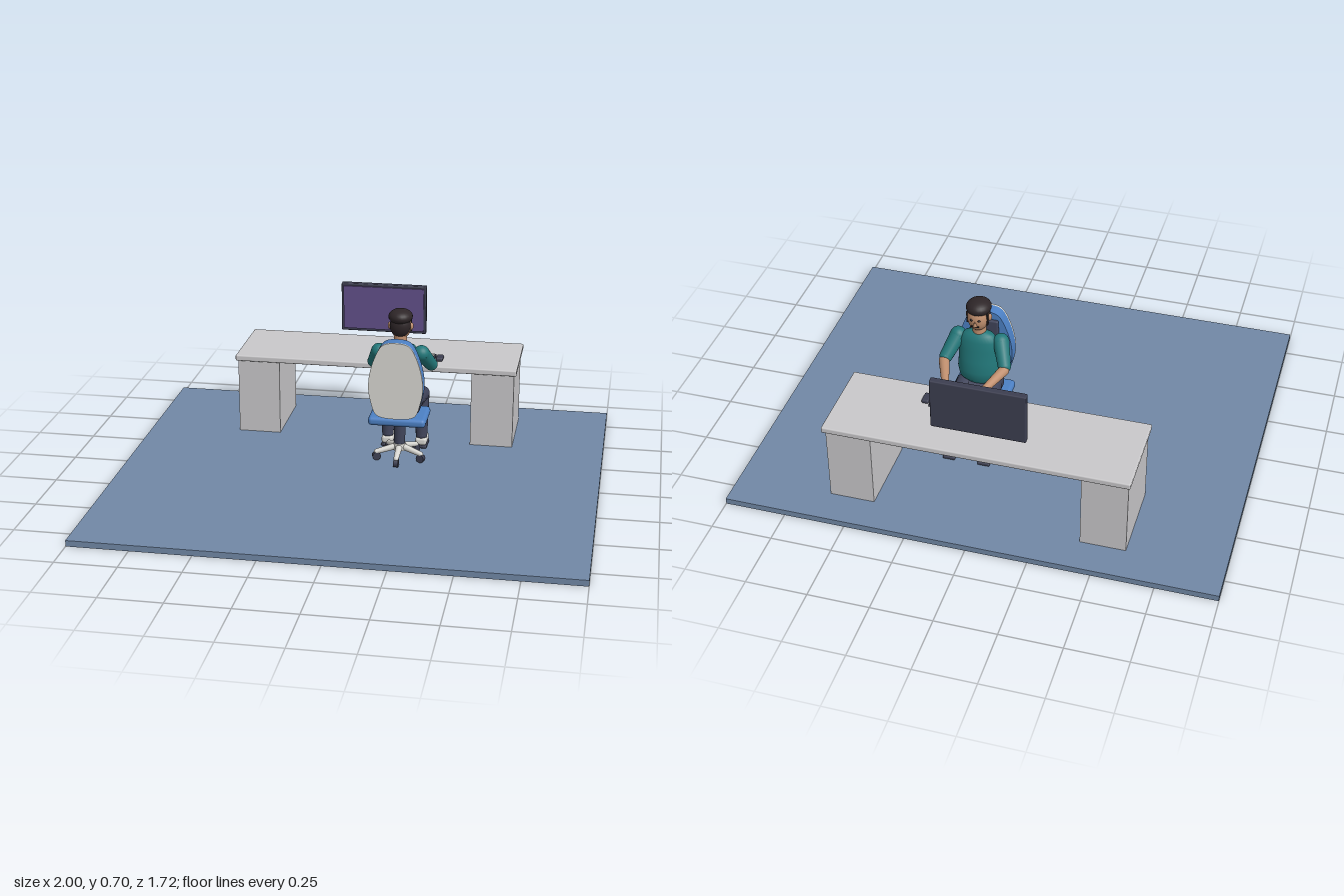
import * as THREE from 'three';
import { RoundedBoxGeometry } from 'three/addons/geometries/RoundedBoxGeometry.js';

const mat = (name, color) => {
  const m = new THREE.MeshStandardMaterial({ color });
  m.name = name;
  return m;
};

export function createModel() {
  const floorBlue = mat('floor blue', 0x7188a6), deskGrey = mat('desk grey', 0xc9c8ca);
  const white = mat('off white', 0xd8d7d2), blue = mat('chair blue', 0x4c80c4);
  const teal = mat('shirt teal', 0x22787a), navy = mat('trouser navy', 0x40445a);
  const charcoal = mat('charcoal', 0x3c3e50), purple = mat('screen purple', 0x62508a);
  const skin = mat('skin', 0xc08f6e), brown = mat('hair brown', 0x2e2628);

  const model = new THREE.Group();
  model.name = 'officeScene';
  const group = (name, x = 0) => {
    const g = new THREE.Group();
    g.name = name;
    g.position.x = x;
    model.add(g);
    return g;
  };
  const add = (parent, name, geo, m, x = 0, y = 0, z = 0) => {
    const mesh = new THREE.Mesh(geo, m);
    mesh.name = name;
    mesh.position.set(x, y, z);
    parent.add(mesh);
    return mesh;
  };
  // Box given by its limits on each axis, rounded when r > 0
  const box = (parent, name, m, [x0, x1], [y0, y1], [z0, z1], r = 0) => {
    const s = [x1 - x0, y1 - y0, z1 - z0];
    const geo = r ? new RoundedBoxGeometry(...s, 3, r) : new THREE.BoxGeometry(...s);
    return add(parent, name, geo, m, (x0 + x1) / 2, (y0 + y1) / 2, (z0 + z1) / 2);
  };
  const ball = (parent, name, m, p, s) => {
    const b = add(parent, name, new THREE.SphereGeometry(1, 24, 16), m, ...p);
    b.scale.set(...s);
    return b;
  };
  // Tapered limb between two points with rounded ends
  const limb = (parent, name, m, a, b, ra, rb) => {
    const A = new THREE.Vector3(...a), B = new THREE.Vector3(...b);
    const d = B.clone().sub(A);
    const mesh = add(parent, name, new THREE.CylinderGeometry(rb, ra, d.length(), 16), m);
    mesh.position.copy(A).add(B).multiplyScalar(0.5);
    mesh.quaternion.setFromUnitVectors(new THREE.Vector3(0, 1, 0), d.normalize());
    ball(parent, name + 'Start', m, a, [ra, ra, ra]);
    ball(parent, name + 'End', m, b, [rb, rb, rb]);
  };

  // Floor
  box(model, 'floor', floorBlue, [-1, 1], [0, 0.025], [-0.86, 0.86]);

  // Desk
  const desk = group('desk');
  box(desk, 'deskTop', deskGrey, [-0.617, 0.617], [0.355, 0.381], [-0.737, -0.363], 0.006);
  for (const s of [-1, 1]) {
    const x = s * 0.515;
    box(desk, 'pedestal', deskGrey, [x - 0.092, x + 0.092], [0.025, 0.356], [-0.715, -0.375]);
  }

  // Monitor
  const monitor = group('monitor');
  box(monitor, 'monitorBody', charcoal, [-0.193, 0.188], [0.432, 0.651], [-0.67, -0.641], 0.005);
  box(monitor, 'screen', purple, [-0.182, 0.177], [0.445, 0.64], [-0.642, -0.634]);

  // Keyboard and mouse
  const keyboard = group('keyboard');
  box(keyboard, 'keyboardBase', charcoal, [0.03, 0.255], [0.38, 0.392], [-0.497, -0.403]);
  for (let r = 0; r < 4; r++) for (let c = 0; c < 9; c++) {
    const x = 0.035 + c * 0.0242, z = -0.491 + r * 0.0215;
    box(keyboard, 'key', white, [x, x + 0.0205], [0.391, 0.397], [z, z + 0.0175]);
  }
  box(model, 'mouse', charcoal, [0.26, 0.29], [0.38, 0.397], [-0.485, -0.43], 0.007);

  // Swivel chair
  const chair = group('chair', 0.143);
  const cz = -0.172;
  box(chair, 'seat', blue, [-0.122, 0.122], [0.207, 0.245], [-0.25, -0.065], 0.016);
  add(chair, 'column', new THREE.CylinderGeometry(0.024, 0.024, 0.13, 20), navy, 0, 0.145, cz);
  add(chair, 'hub', new THREE.CylinderGeometry(0.026, 0.03, 0.03, 20), white, 0, 0.083, cz);
  for (let i = 0; i < 5; i++) {
    const a = i * Math.PI * 0.4 + Math.PI / 2, c = Math.cos(a), s = Math.sin(a);
    limb(chair, 'baseArm', white, [0, 0.086, cz], [c * 0.1, 0.062, cz + s * 0.1], 0.015, 0.011);
    const wheel = add(chair, 'caster', new THREE.CylinderGeometry(0.018, 0.018, 0.02, 16),
      charcoal, c * 0.1, 0.043, cz + s * 0.1);
    wheel.rotation.set(0, -a, 0);
    wheel.rotateX(Math.PI / 2);
  }
  // Backrest: tapered outline shared by the shell and the cushion
  const outline = new THREE.Shape();
  outline.moveTo(0, 0.255);
  outline.bezierCurveTo(0.09, 0.255, 0.09, 0.27, 0.105, 0.33);
  outline.bezierCurveTo(0.13, 0.41, 0.1, 0.5, 0.075, 0.55);
  outline.bezierCurveTo(0.06, 0.58, 0.045, 0.588, 0, 0.588);
  outline.bezierCurveTo(-0.045, 0.588, -0.06, 0.58, -0.075, 0.55);
  outline.bezierCurveTo(-0.1, 0.5, -0.13, 0.41, -0.105, 0.33);
  outline.bezierCurveTo(-0.09, 0.27, -0.09, 0.255, 0, 0.255);
  const slab = depth => new THREE.ExtrudeGeometry(outline, { depth, bevelEnabled: false, curveSegments: 14 });
  add(chair, 'backShell', slab(0.009), white, 0, 0, -0.045);
  add(chair, 'backCushion', slab(0.05), blue, 0, 0, -0.095);
  box(chair, 'upperPad', navy, [-0.06, 0.06], [0.44, 0.555], [-0.112, -0.094], 0.006);
  box(chair, 'lumbarPad', navy, [-0.08, 0.08], [0.285, 0.335], [-0.112, -0.094], 0.006);

  // Person
  const person = group('person', 0.143);
  const torso = new THREE.LatheGeometry([
    [0, 0.295], [0.055, 0.305], [0.083, 0.33], [0.09, 0.37], [0.086, 0.42], [0.084, 0.47],
    [0.08, 0.51], [0.06, 0.538], [0.028, 0.548], [0, 0.55],
  ].map(p => new THREE.Vector2(...p)), 32);
  // Belly is deeper than the chest
  const tp = torso.attributes.position;
  for (let i = 0; i < tp.count; i++) {
    const k = 0.68 - 0.15 * THREE.MathUtils.smoothstep(tp.getY(i), 0.38, 0.5);
    tp.setZ(i, tp.getZ(i) * k);
  }
  torso.computeVertexNormals();
  add(person, 'torso', torso, teal, 0, 0, -0.174);
  box(person, 'hips', navy, [-0.09, 0.09], [0.243, 0.315], [-0.235, -0.105], 0.028);

  // Head
  add(person, 'neck', new THREE.CylinderGeometry(0.027, 0.029, 0.06, 20), skin, 0, 0.56, -0.168);
  ball(person, 'head', skin, [0, 0.622, -0.18], [0.044, 0.06, 0.047]);
  const nose = add(person, 'nose', new THREE.ConeGeometry(0.009, 0.026, 10), skin, 0, 0.617, -0.228);
  nose.rotation.x = -0.25;
  ball(person, 'hairTop', brown, [0, 0.664, -0.17], [0.051, 0.032, 0.056]);
  ball(person, 'hairBack', brown, [0, 0.628, -0.158], [0.044, 0.05, 0.034]);
  const mouth = box(person, 'moustache', brown, [-0.016, 0.016], [0.598, 0.604], [-0.228, -0.22], 0.002);
  mouth.rotation.x = 0.1;

  for (const s of [-1, 1]) {
    ball(person, 'ear', skin, [s * 0.046, 0.622, -0.172], [0.008, 0.016, 0.011]);
    box(person, 'sideburn', brown, [s * 0.041 - 0.004, s * 0.041 + 0.004], [0.595, 0.65], [-0.197, -0.183], 0.003);
    ball(person, 'eye', brown, [s * 0.016, 0.629, -0.223], [0.006, 0.005, 0.004]);
    // Arms
    limb(person, 'sleeve', teal, [s * 0.09, 0.507, -0.168], [s * 0.123, 0.437, -0.235], 0.034, 0.027);
    limb(person, 'forearm', skin, [s * 0.125, 0.428, -0.252], [s * 0.074, 0.413, -0.395], 0.022, 0.014);
    ball(person, 'hand', skin, [s * 0.07, 0.411, -0.417], [0.019, 0.011, 0.027]);
    for (let f = -1; f <= 1; f++) {
      limb(person, 'finger', skin, [s * 0.068 + f * 0.011, 0.411, -0.43],
        [s * 0.066 + f * 0.011, 0.405, -0.451], 0.005, 0.004);
    }
    // Legs
    limb(person, 'thigh', navy, [s * 0.055, 0.285, -0.185], [s * 0.073, 0.267, -0.335], 0.04, 0.032);
    limb(person, 'shin', navy, [s * 0.073, 0.262, -0.337], [s * 0.074, 0.08, -0.322], 0.031, 0.025);
    // Shoes
    box(person, 'sole', charcoal, [s * 0.074 - 0.026, s * 0.074 + 0.026], [0.025, 0.039], [-0.387, -0.292], 0.005);
    box(person, 'shoe', white, [s * 0.074 - 0.025, s * 0.074 + 0.025], [0.038, 0.072], [-0.383, -0.294], 0.012);
  }

  return model;
}
